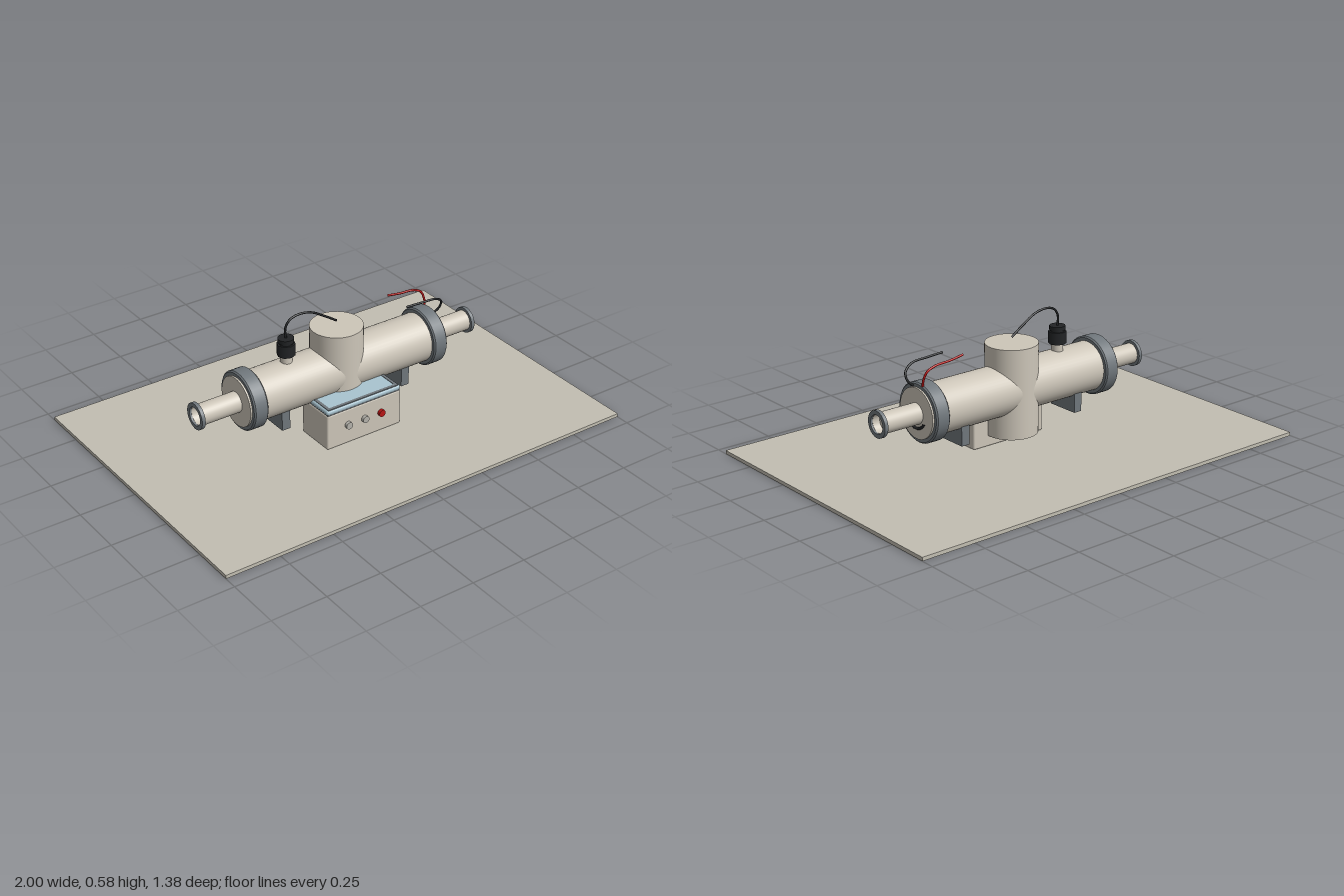
import * as THREE from 'three';
import { RoundedBoxGeometry } from 'three/addons/geometries/RoundedBoxGeometry.js';

export function createModel() {
  const root = new THREE.Group();
  root.name = 'tubeApparatus';
  const mat = (name, color, extra = {}) => {
    const m = new THREE.MeshStandardMaterial({ color, ...extra });
    m.name = name;
    return m;
  };
  const plate = mat('plateStone', 0xc2beb2);
  const shell = mat('warmGreyShell', 0xcdc6b9);
  const steel = mat('slateGrey', 0x70777c);
  const blue = mat('paleBlue', 0xa9c4d0);
  const black = mat('black', 0x222426);
  const red = mat('red', 0xb81414);
  const button = mat('buttonGrey', 0xb5b3ac);

  const add = (name, geo, material, x = 0, y = 0, z = 0, parent = root) => {
    const m = new THREE.Mesh(geo, material);
    m.name = name;
    m.position.set(x, y, z);
    parent.add(m);
    return m;
  };
  const box = (w, h, d) => new THREE.BoxGeometry(w, h, d);
  const cyl = (r, h, n = 40) => new THREE.CylinderGeometry(r, r, h, n);
  // Sharp-edged lathe: each profile segment gets its own normals
  const lathe = (name, pts, material, parent) => {
    for (let i = 0; i < pts.length - 1; i++) {
      const seg = [pts[i], pts[i + 1]].map(([r, y]) => new THREE.Vector2(r, y));
      add(name, new THREE.LatheGeometry(seg, 40), material, 0, 0, 0, parent);
    }
  };
  const wire = (name, pts, material, r = 0.005) => {
    const curve = new THREE.CatmullRomCurve3(pts.map(p => new THREE.Vector3(...p)));
    add(name, new THREE.TubeGeometry(curve, 40, r, 8), material);
  };

  // Base plate
  add('basePlate', box(2, 0.016, 1.38), plate, 0, 0.008, 0);

  // Crossing cylinders
  const axisY = 0.265;
  add('mainTube', cyl(0.111, 1.01, 48).rotateZ(Math.PI / 2), shell, 0, axisY, 0);
  add('verticalTube', cyl(0.115, 0.4, 48), shell, 0, 0.265, 0);

  // Clamp rings, end pipes with hollow flanges, feet
  for (const s of [1, -1]) {
    const end = new THREE.Group();
    end.name = s > 0 ? 'leftEnd' : 'rightEnd';
    end.position.y = axisY;
    end.rotation.z = -s * Math.PI / 2;
    root.add(end);
    lathe('clampRing', [[0.105, 0.428], [0.125, 0.428], [0.131, 0.434], [0.131, 0.491], [0.125, 0.497], [0.105, 0.497]], steel, end);
    lathe('endPipe', [[0.046, 0.5], [0.046, 0.695], [0.04, 0.695], [0.04, 0.66], [0, 0.66]], shell, end);
    lathe('pipeFlange', [[0.046, 0.688], [0.059, 0.688], [0.059, 0.704], [0.041, 0.704], [0.041, 0.688]], steel, end);
    add('foot', box(0.04, 0.09, 0.153), steel, s * 0.31, 0.143, 0);
  }

  // Control box with lid and push buttons
  add('controlBox', new RoundedBoxGeometry(0.38, 0.166, 0.185, 2, 0.008), shell, 0, 0.098, 0.112);
  add('lid', new RoundedBoxGeometry(0.38, 0.024, 0.165, 3, 0.011), blue, 0, 0.192, 0.122);
  add('lidSeam', box(0.372, 0.006, 0.17), steel, 0, 0.181, 0.117);
  add('lidFrontTrim', box(0.36, 0.004, 0.014), steel, 0, 0.204, 0.192);
  for (const s of [1, -1]) add('lidSideTrim', box(0.014, 0.004, 0.145), steel, s * 0.174, 0.204, 0.122);
  [-0.085, 0, 0.085].forEach((x, i) => {
    add('pushButton', cyl(0.016, 0.016, 20).rotateX(Math.PI / 2), i === 2 ? red : button, x, 0.106, 0.211);
  });

  // Sensor plug
  add('sensorStub', cyl(0.026, 0.06, 24), shell, -0.255, 0.385, 0);
  add('sensorBody', cyl(0.04, 0.054, 8), black, -0.255, 0.434, 0);
  add('sensorNeck', cyl(0.031, 0.012, 16), black, -0.255, 0.464, 0);
  add('sensorCap', cyl(0.035, 0.018, 16), black, -0.255, 0.477, 0);
  wire('sensorCable', [[-0.255, 0.48, 0], [-0.257, 0.53, 0], [-0.235, 0.563, 0], [-0.19, 0.575, 0],
    [-0.13, 0.565, 0], [-0.06, 0.525, 0], [0, 0.485, 0]], black);

  // Loose leads over the left end
  wire('redLead', [[0.3, 0.487, -0.05], [0.37, 0.476, -0.05], [0.44, 0.47, -0.049],
    [0.482, 0.45, -0.046], [0.494, 0.41, -0.036], [0.49, 0.375, -0.028]], red);
  wire('blackLead', [[0.32, 0.473, 0.06], [0.4, 0.469, 0.06], [0.48, 0.462, 0.058],
    [0.52, 0.435, 0.048], [0.52, 0.4, 0.036], [0.495, 0.375, 0.028]], black);
  const loop = add('leadLoop', new THREE.TorusGeometry(0.063, 0.006, 8, 28, Math.PI * 0.75), black, 0.508, axisY, 0);
  loop.rotation.set(-Math.PI * 0.1, -Math.PI / 2, 0, 'XYZ');
  loop.rotation.set(Math.PI * 0.1, -Math.PI / 2, 0);
  loop.scale.y = -1;

  return root;
}
